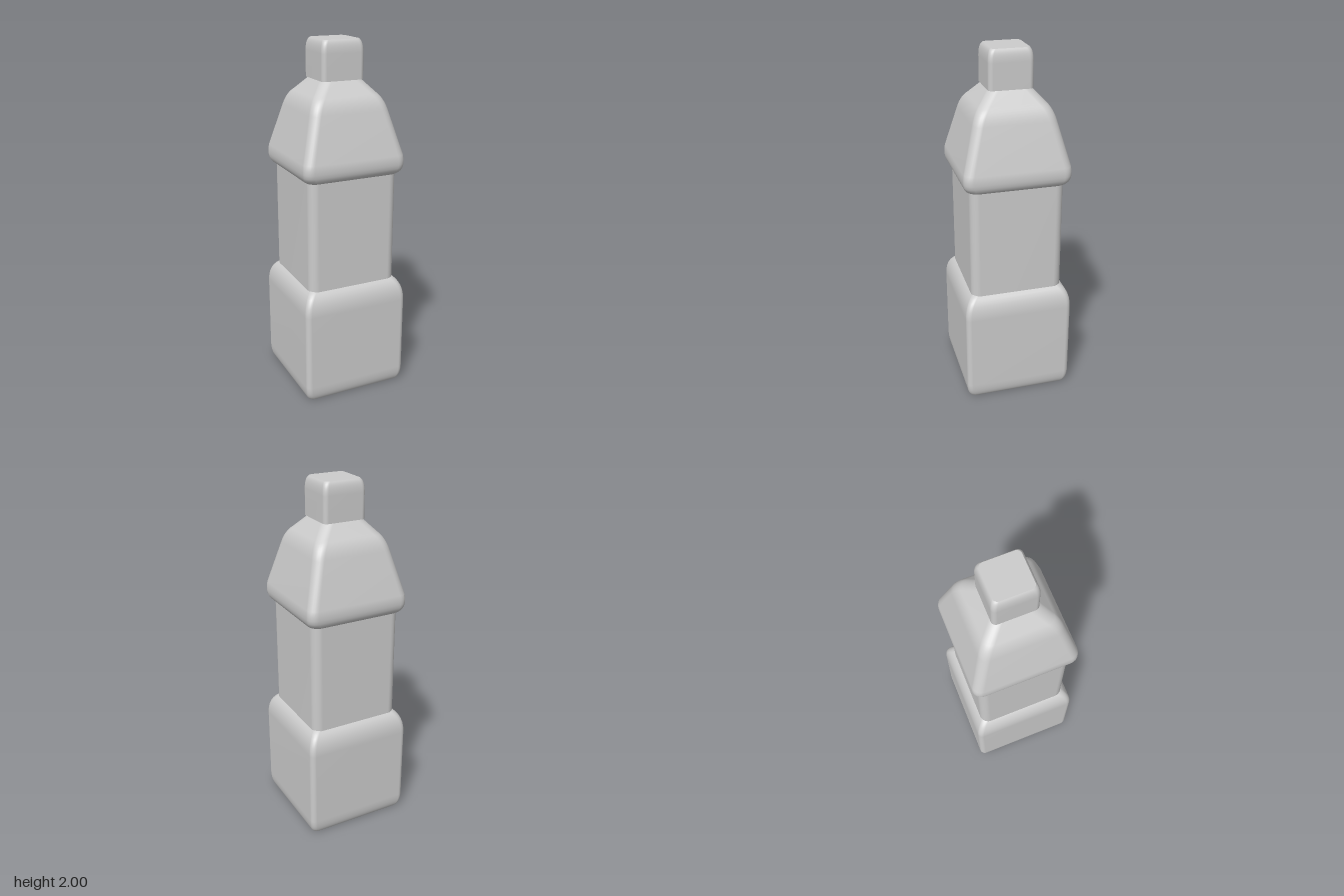
import * as THREE from 'three';

const material = new THREE.MeshStandardMaterial({ color: 0xcccccc });

// Outline of a rounded square: half width h, corner radius r
function ring(h, r, y, steps = 6) {
  const points = [];
  for (let corner = 0; corner < 4; corner++) {
    const mid = Math.PI / 4 + corner * Math.PI / 2;
    const cx = Math.sign(Math.cos(mid)) * (h - r);
    const cz = Math.sign(Math.sin(mid)) * (h - r);
    for (let i = 0; i <= steps; i++) {
      const a = (corner + i / steps) * Math.PI / 2;
      points.push(cx + r * Math.cos(a), y, cz + r * Math.sin(a));
    }
  }
  return points;
}

// Square block whose side follows a profile of (half width, height), bottom to top
function block(name, radius, profile) {
  const rows = profile.getPoints(7);
  const positions = [], index = [];
  const rings = rows.map((p) => ring(p.x, radius, p.y));
  const n = rings[0].length / 3;
  rings.forEach((points) => positions.push(...points));
  for (let j = 0; j < rows.length - 1; j++) {
    for (let i = 0; i < n; i++) {
      const a = j * n + i, b = j * n + (i + 1) % n;
      index.push(a, a + n, b, b, a + n, b + n);
    }
  }
  // Flat ends with their own vertices, so their rims stay sharp
  [[rings[0], rows[0].y, false], [rings[rings.length - 1], rows[rows.length - 1].y, true]]
    .forEach(([points, y, top]) => {
      const start = positions.length / 3;
      positions.push(...points, 0, y, 0);
      for (let i = 0; i < n; i++) {
        const a = start + i, b = start + (i + 1) % n;
        index.push(start + n, top ? b : a, top ? a : b);
      }
    });
  const geometry = new THREE.BufferGeometry();
  geometry.setAttribute('position', new THREE.Float32BufferAttribute(positions, 3));
  geometry.setIndex(index);
  geometry.computeVertexNormals();
  const mesh = new THREE.Mesh(geometry, material);
  mesh.name = name;
  return mesh;
}

export function createModel() {
  const group = new THREE.Group();
  group.name = 'bottle';

  // Base with a small rounded foot and broad rounded shoulders
  const base = new THREE.Path().moveTo(0.285, 0)
    .quadraticCurveTo(0.308, 0.02, 0.309, 0.09)
    .lineTo(0.309, 0.53)
    .quadraticCurveTo(0.308, 0.64, 0.24, 0.672);
  group.add(block('base', 0.03, base));

  // Straight middle section
  const middle = new THREE.Path().moveTo(0.262, 0.66).lineTo(0.262, 1.285);
  group.add(block('middle', 0.05, middle));

  // Flared upper body, tapering to the neck
  const upper = new THREE.Path().moveTo(0.25, 1.277)
    .quadraticCurveTo(0.312, 1.29, 0.294, 1.39)
    .lineTo(0.229, 1.63)
    .quadraticCurveTo(0.213, 1.69, 0.18, 1.72)
    .lineTo(0.115, 1.792);
  group.add(block('upperBody', 0.05, upper));

  // Cap
  const cap = new THREE.Path().moveTo(0.123, 1.787)
    .lineTo(0.123, 1.93)
    .quadraticCurveTo(0.122, 1.985, 0.105, 2);
  group.add(block('cap', 0.025, cap));

  return group;
}
